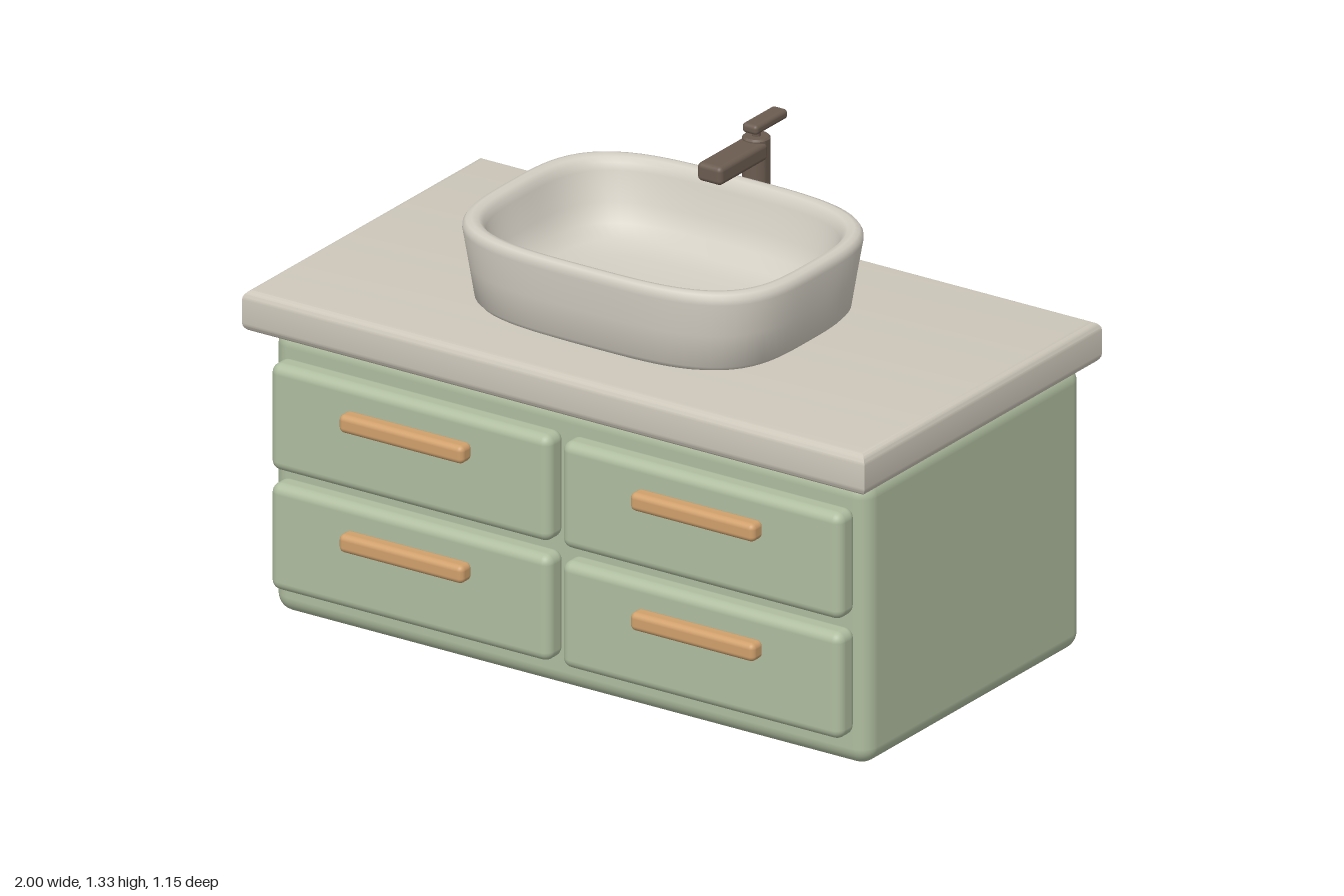
import * as THREE from 'three';
import { toCreasedNormals } from 'three/addons/utils/BufferGeometryUtils.js';
import { RoundedBoxGeometry } from 'three/addons/geometries/RoundedBoxGeometry.js';

const material = (name, color) => {
  const m = new THREE.MeshStandardMaterial({ color });
  m.name = name;
  return m;
};

// Rounded box given by its minimum and maximum on each axis
function block(name, mat, [x0, x1], [y0, y1], [z0, z1], radius) {
  const mesh = new THREE.Mesh(new RoundedBoxGeometry(x1 - x0, y1 - y0, z1 - z0, 4, radius), mat);
  mesh.position.set((x0 + x1) / 2, (y0 + y1) / 2, (z0 + z1) / 2);
  mesh.name = name;
  return mesh;
}

// Upright round part from y0 to y1, with a small softened edge
function post(name, mat, radius, y0, y1, z, soft = 0.005) {
  const profile = [
    [0, y0], [radius - soft, y0], [radius, y0 + soft],
    [radius, y1 - soft], [radius - soft, y1], [0, y1],
  ].map(([r, y]) => new THREE.Vector2(r, y));
  const mesh = new THREE.Mesh(toCreasedNormals(new THREE.LatheGeometry(profile, 32), 0.6), mat);
  mesh.position.z = z;
  mesh.name = name;
  return mesh;
}

// Slab with square plan corners and rounded upper and lower edges
function slabGeometry(x, z0, z1, y0, y1, bevel) {
  const shape = new THREE.Shape();
  shape.moveTo(-x + bevel, -z1 + bevel);
  shape.lineTo(x - bevel, -z1 + bevel);
  shape.lineTo(x - bevel, -z0 - bevel);
  shape.lineTo(-x + bevel, -z0 - bevel);
  shape.closePath();
  const geo = new THREE.ExtrudeGeometry(shape, {
    depth: y1 - y0 - 2 * bevel, bevelSize: bevel, bevelThickness: bevel, bevelSegments: 5,
  });
  geo.rotateX(-Math.PI / 2);
  geo.translate(0, y0 + bevel, 0);
  return toCreasedNormals(geo, 0.6);
}

// Superellipse rings stacked along a profile of [half width, half depth, height]
function basinGeometry(profile, segments, power) {
  const positions = [];
  const index = [];
  for (const [hx, hz, y] of profile) {
    for (let j = 0; j < segments; j++) {
      const a = (j / segments) * Math.PI * 2;
      const c = Math.cos(a);
      const s = Math.sin(a);
      const r = (Math.abs(c) ** power + Math.abs(s) ** power) ** (-1 / power);
      positions.push(hx * r * c, y, hz * r * s);
    }
  }
  for (let i = 0; i < profile.length - 1; i++) {
    for (let j = 0; j < segments; j++) {
      const k = (j + 1) % segments;
      const a = i * segments + j;
      const d = i * segments + k;
      index.push(a, a + segments, d + segments, a, d + segments, d);
    }
  }
  const geo = new THREE.BufferGeometry();
  geo.setAttribute('position', new THREE.Float32BufferAttribute(positions, 3));
  geo.setIndex(index);
  return toCreasedNormals(geo, 0.85);
}

export function createModel() {
  const green = material('sage paint', 0xafbd9f);
  const stone = material('stone counter', 0xcdc7ba);
  const ceramic = material('ceramic', 0xd3cec3);
  const bronze = material('dark bronze', 0x6b5c50);
  const wood = material('light wood', 0xd0a06c);

  const vanity = new THREE.Group();
  vanity.name = 'bathroomVanity';

  // Cabinet and counter
  vanity.add(block('cabinet', green, [-0.957, 0.957], [0, 0.82], [-0.555, 0.465], 0.05));
  const counter = new THREE.Mesh(slabGeometry(1, -0.577, 0.54, 0.82, 0.94, 0.027), stone);
  counter.name = 'counter';
  vanity.add(counter);

  // Four drawers, each with a bar handle
  for (const side of [-1, 1]) {
    for (const y of [0.095, 0.44]) {
      const x = side * 0.468;
      const drawer = new THREE.Group();
      drawer.name = 'drawer';
      drawer.add(
        block('drawerFront', green, [x - 0.45, x + 0.45], [y, y + 0.307], [0.455, 0.535], 0.028),
        block('handle', wood, [x - 0.2, x + 0.2], [y + 0.182, y + 0.234], [0.525, 0.577], 0.016),
      );
      vanity.add(drawer);
    }
  }

  // Vessel basin: up the outside, over the rim and down the inside
  const basin = new THREE.Mesh(basinGeometry([
    [0.01, 0.01, 0.941], [0.41, 0.315, 0.941], [0.465, 0.356, 0.963], [0.476, 0.364, 0.975],
    [0.491, 0.375, 1.07], [0.507, 0.386, 1.165], [0.506, 0.386, 1.18], [0.498, 0.38, 1.192],
    [0.485, 0.367, 1.196], [0.468, 0.351, 1.192], [0.457, 0.341, 1.18], [0.451, 0.335, 1.16],
    [0.43, 0.313, 1.08], [0.405, 0.288, 1.03], [0.365, 0.25, 1.0], [0.3, 0.19, 0.984],
    [0.01, 0.01, 0.98],
  ], 96, 3.5), ceramic);
  basin.position.z = 0.024;
  basin.name = 'basin';
  vanity.add(basin);

  // Drain with small slots
  vanity.add(post('drain', ceramic, 0.053, 0.97, 0.992, 0.02, 0.004));
  for (const z of [-0.015, 0, 0.015]) {
    const slot = new THREE.Mesh(new THREE.BoxGeometry(0.05, 0.003, 0.004), bronze);
    slot.position.set(0, 0.992, 0.02 + z);
    slot.name = 'drainSlot';
    vanity.add(slot);
  }

  // Tap: flange, column, spout and lever
  const tap = new THREE.Group();
  tap.name = 'tap';
  tap.add(
    post('tapFlange', bronze, 0.056, 0.94, 0.98, -0.415, 0.008),
    post('tapColumn', bronze, 0.038, 0.97, 1.292, -0.415),
    post('leverStem', bronze, 0.012, 1.28, 1.315, -0.415, 0.002),
    block('spout', bronze, [-0.04, 0.04], [1.23, 1.283], [-0.415, -0.19], 0.014),
    block('lever', bronze, [-0.025, 0.025], [1.306, 1.334], [-0.53, -0.38], 0.011),
  );
  vanity.add(tap);
  return vanity;
}
